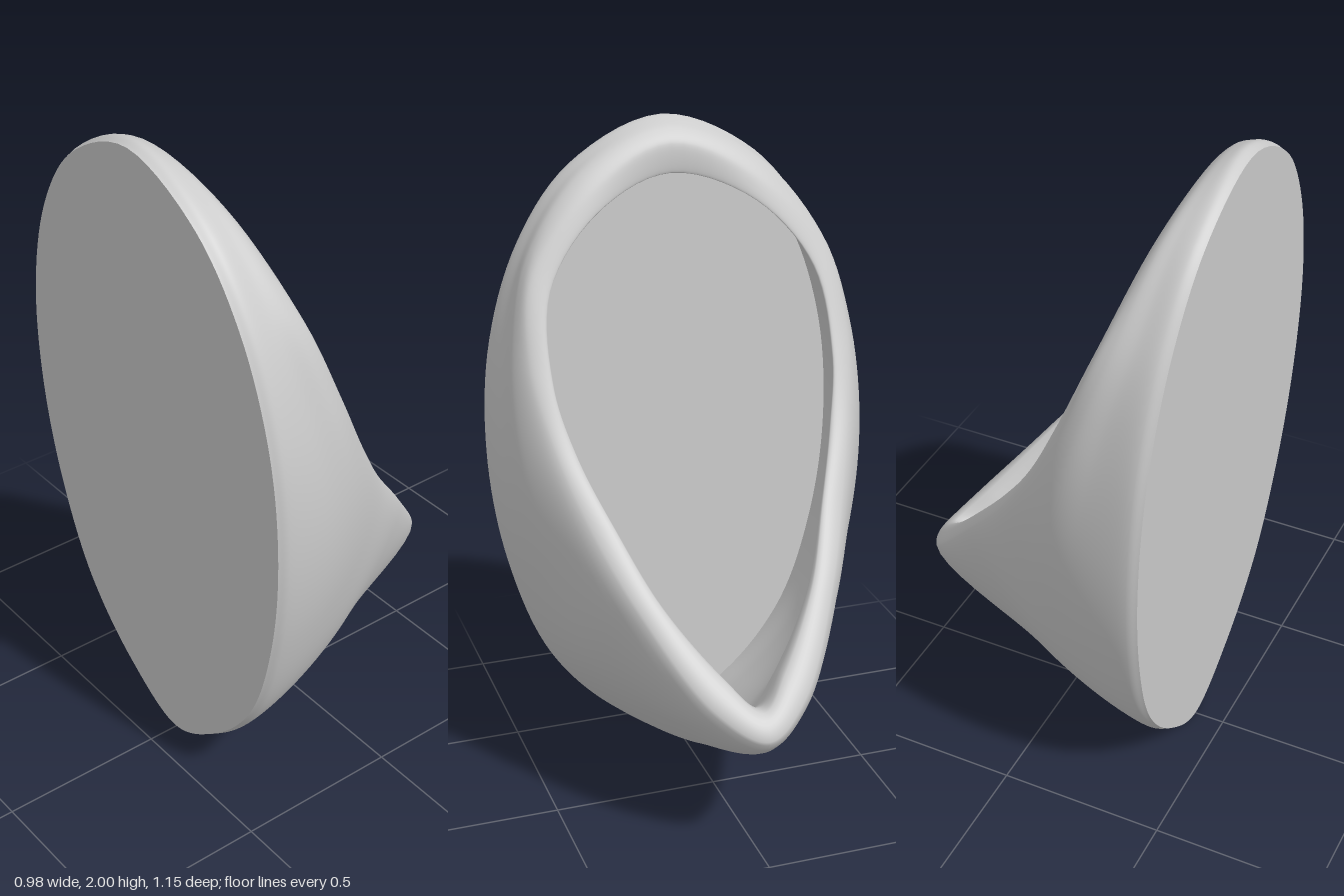
import * as THREE from 'three';

const V = (x, y, z) => new THREE.Vector3(x, y, z);
const backX = (y) => -0.41 - 0.04 * y; // the slightly leaning wall plane

// Half outlines, from bottom centre over the +z side to top centre
const wall = [[0, 0], [0.12, 0.22], [0.34, 0.41], [0.65, 0.525], [1, 0.575],
  [1.35, 0.553], [1.66, 0.45], [1.88, 0.28], [2, 0]].map(([y, z]) => V(backX(y) + 0.03, y, z));
const body = [[-0.28, 0.025, 0], [-0.28, 0.14, 0.2], [-0.27, 0.36, 0.4], [-0.26, 0.68, 0.515], [-0.27, 1.02, 0.56],
  [-0.32, 1.36, 0.535], [-0.38, 1.65, 0.45], [-0.41, 1.88, 0.27], [-0.43, 1.99, 0]].map((p) => V(...p));
const belly = [[0.03, 0.15, 0], [-0.01, 0.26, 0.19], [-0.04, 0.48, 0.37], [-0.08, 0.78, 0.47], [-0.15, 1.08, 0.525],
  [-0.24, 1.37, 0.525], [-0.32, 1.64, 0.455], [-0.37, 1.87, 0.265], [-0.4, 1.97, 0]].map((p) => V(...p));
const crest = [[0.49, 0.4, 0], [0.42, 0.48, 0.14], [0.22, 0.73, 0.3], [0.06, 0.93, 0.39], [-0.07, 1.14, 0.455],
  [-0.18, 1.36, 0.49], [-0.275, 1.61, 0.45], [-0.33, 1.82, 0.255], [-0.37, 1.93, 0]].map((p) => V(...p));
const lip = [[0.43, 0.48, 0], [0.36, 0.56, 0.09], [0.22, 0.74, 0.225], [0.07, 0.93, 0.315], [-0.06, 1.12, 0.39],
  [-0.15, 1.31, 0.43], [-0.25, 1.56, 0.405], [-0.315, 1.76, 0.24], [-0.37, 1.845, 0]].map((p) => V(...p));

// Shrinks an outline towards the middle, for the inside of the shell
const inset = (ring, sy, sz) => ring.map((p) => V(p.x, 1 + (p.y - 1) * sy, p.z * sz));
const ontoWall = (ring) => ring.map((p) => V(backX(p.y), p.y, p.z));

// Mirrors a half outline into a closed smooth loop
function loop(half) {
  const other = half.slice(1, -1).reverse().map((p) => V(p.x, p.y, -p.z));
  return new THREE.CatmullRomCurve3([...half, ...other], true);
}

const AROUND = 160, ACROSS = 72;
const holes = [[-0.33, -0.06], [-0.29, 0]];
const inHole = (x, y, z) => y < 0.2 && holes.some(([hx, hz]) => Math.hypot(x - hx, z - hz) < 0.02);

function surface(points, index) {
  const g = new THREE.BufferGeometry().setFromPoints(points);
  g.setIndex(index);
  g.computeVertexNormals();
  return g;
}

export function createModel() {
  const group = new THREE.Group();
  const material = new THREE.MeshStandardMaterial({ color: 0xcccccc, side: THREE.DoubleSide });
  const add = (name, geometry) => {
    const mesh = new THREE.Mesh(geometry, material);
    mesh.name = name;
    group.add(mesh);
  };

  // Shell: up the outside, over the rounded rim and back down the inside
  const loops = [
    ontoWall(inset(wall, 0.99, 0.98)), wall, body, belly, crest, lip,
    inset(belly, 0.95, 0.92), inset(body, 0.95, 0.92), ontoWall(inset(wall, 0.95, 0.92)),
  ].map(loop);
  const points = [], index = [];
  for (let i = 0; i < AROUND; i++) {
    // finer steps near the bottom, where the drain holes are
    const s = (2 * i) / AROUND - 1;
    const u = (0.5 * Math.sign(s) * Math.abs(s) ** 1.5 + 1) % 1;
    const section = new THREE.CatmullRomCurve3(loops.map((l) => l.getPoint(u)));
    for (let j = 0; j <= ACROSS; j++) points.push(section.getPoint(j / ACROSS));
  }
  const row = ACROSS + 1;
  const tri = (...t) => {
    const c = V(0, 0, 0);
    t.forEach((k) => c.addScaledVector(points[k], 1 / 3));
    if (!inHole(c.x, c.y, c.z)) index.push(...t);
  };
  for (let i = 0; i < AROUND; i++) {
    for (let j = 0; j < ACROSS; j++) {
      const a = i * row + j, b = ((i + 1) % AROUND) * row + j;
      tri(a, a + 1, b);
      tri(b, a + 1, b + 1);
    }
  }
  add('basinShell', surface(points, index));

  // Flat back plate closing the shell against the wall
  const edge = Array.from({ length: AROUND }, (_, i) => points[i * row]);
  const fan = [];
  for (let i = 0; i < AROUND; i++) fan.push(AROUND, i, (i + 1) % AROUND);
  add('backPlate', surface([...edge, V(backX(1), 1, 0)], fan));

  return group;
}
